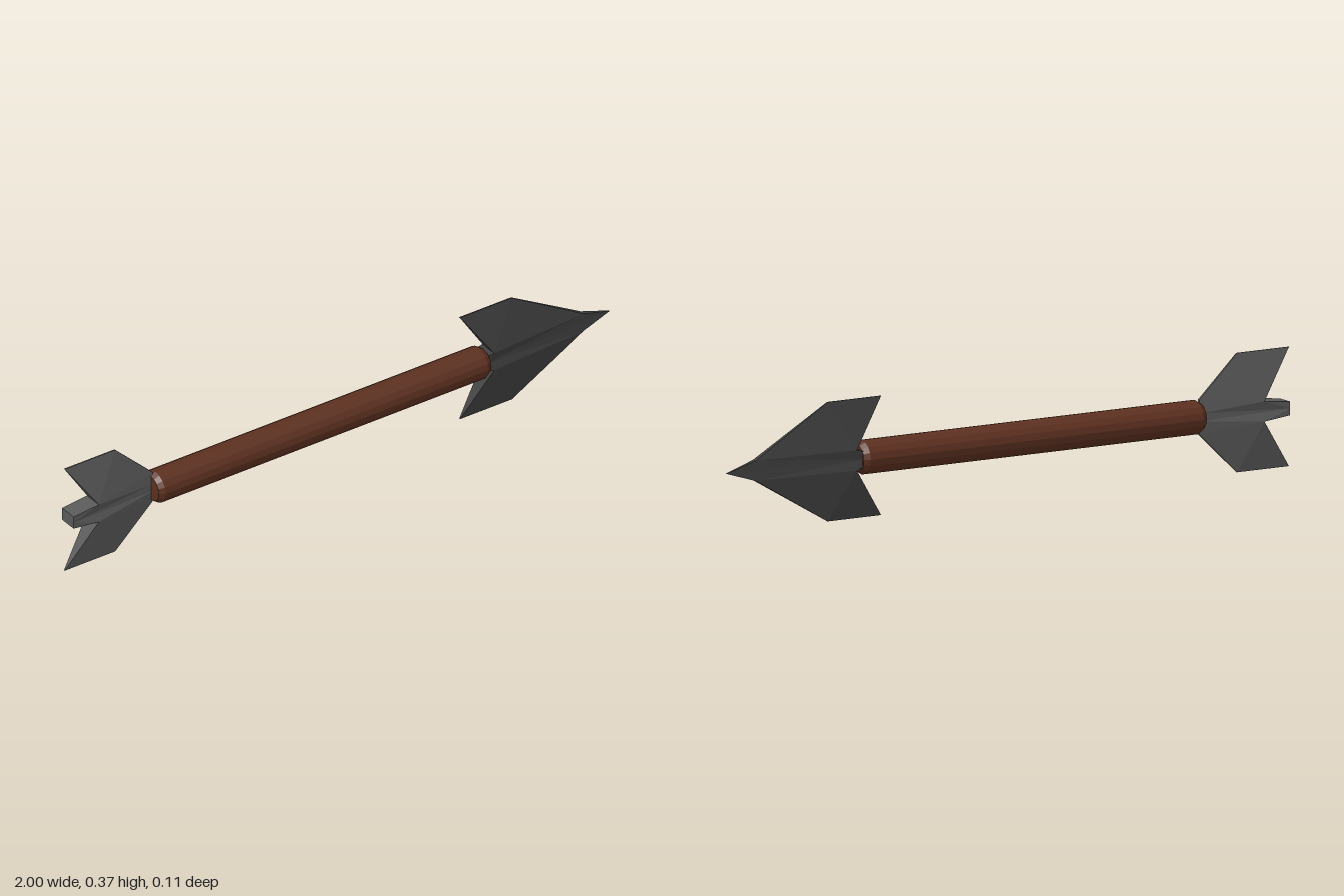
import * as THREE from 'three';

const AXIS_Y = 0.183;

// Symmetric faceted plate. Points are [x, y, half thickness] of the upper half;
// faces and outline run counter-clockwise seen from +z.
function plate(name, color, points, faces, outline) {
  const pos = [];
  const fan = (corners, flip) => {
    for (let i = 1; i < corners.length - 1; i++) {
      const tri = [corners[0], corners[i], corners[i + 1]];
      if (flip) tri.reverse();
      tri.forEach((c) => pos.push(...c));
    }
  };
  const at = (key, sy, sz) => {
    const [x, y, t] = points[key];
    return [x, y * sy, t * sz];
  };
  for (const sy of [1, -1]) {
    for (const sz of [1, -1]) {
      for (const face of faces) fan(face.map((k) => at(k, sy, sz)), sy * sz < 0);
    }
    // rim walls joining the two sides
    for (let i = 0; i < outline.length - 1; i++) {
      const [a, b] = [outline[i], outline[i + 1]];
      fan([at(a, sy, 1), at(a, sy, -1), at(b, sy, -1), at(b, sy, 1)], sy < 0);
    }
  }
  const geo = new THREE.BufferGeometry();
  geo.setAttribute('position', new THREE.Float32BufferAttribute(pos, 3));
  geo.computeVertexNormals();
  const mesh = new THREE.Mesh(geo, new THREE.MeshStandardMaterial({ color, flatShading: true }));
  mesh.name = name;
  mesh.position.set(0, AXIS_Y, -0.006);
  return mesh;
}

export function createModel() {
  const group = new THREE.Group();
  group.name = 'arrow';

  // wooden shaft with bevelled ends
  const profile = [[0, -0.687], [0.042, -0.687], [0.053, -0.67], [0.053, 0.515], [0.042, 0.533], [0, 0.533]];
  const shaftGeo = new THREE.LatheGeometry(profile.map(([r, h]) => new THREE.Vector2(r, h)), 16);
  shaftGeo.rotateZ(-Math.PI / 2);
  const shaft = new THREE.Mesh(shaftGeo, new THREE.MeshStandardMaterial({ color: 0x5c3020, flatShading: true }));
  shaft.name = 'shaft';
  shaft.position.y = AXIS_Y;
  group.add(shaft);

  // barbed head: thick core tapering to the tip, thin swept blades
  group.add(plate('arrowHead', 0x404040, {
    back: [0.53, 0, 0.027], backTop: [0.53, 0.026, 0.029],
    tip: [1, 0, 0.002], neck: [0.9, 0.031, 0.008],
    root: [0.555, 0.031, 0.031],
    shoulder: [0.64, 0.183, 0.002], barb: [0.45, 0.183, 0.002],
  }, [
    ['back', 'tip', 'neck', 'root', 'backTop'],
    ['root', 'neck', 'shoulder', 'barb'],
  ], ['tip', 'neck', 'shoulder', 'barb', 'root', 'backTop', 'back']));

  // tail: nock widening to the rear, with two swept fins
  group.add(plate('fletching', 0x5a5a5a, {
    nock: [-0.987, 0, 0.03], nockTop: [-0.987, 0.021, 0.03],
    front: [-0.68, 0, 0.008], ridge: [-0.68, 0.012, 0.008], frontTop: [-0.68, 0.053, 0.004],
    root: [-0.895, 0.031, 0.031],
    shoulder: [-0.815, 0.183, 0.002], finTip: [-1, 0.183, 0.002],
  }, [
    ['nock', 'front', 'ridge', 'root', 'nockTop'],
    ['root', 'ridge', 'frontTop', 'shoulder', 'finTip'],
  ], ['front', 'ridge', 'frontTop', 'shoulder', 'finTip', 'root', 'nockTop', 'nock']));

  return group;
}
